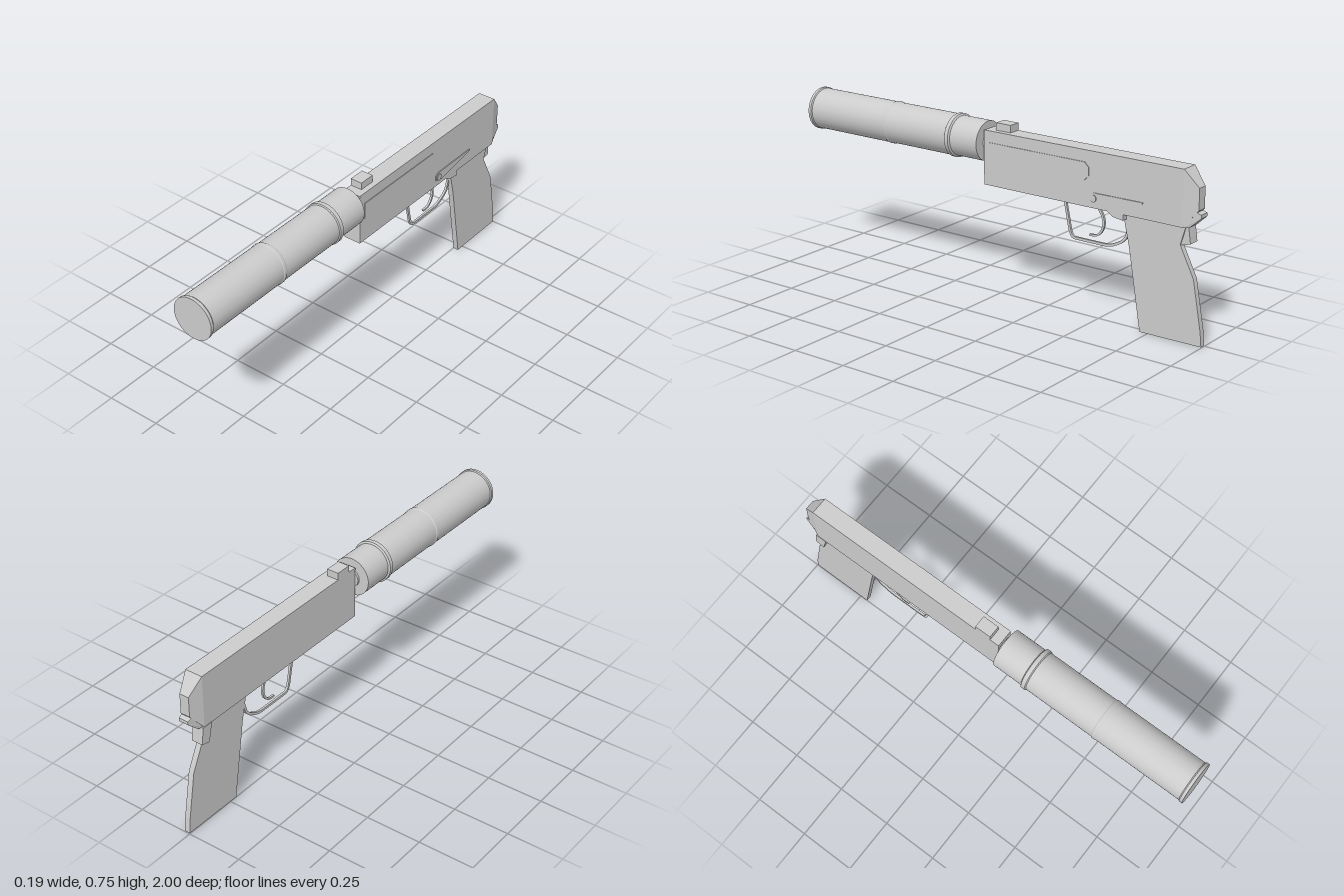
import * as THREE from 'three';
import { toCreasedNormals } from 'three/addons/utils/BufferGeometryUtils.js';
import { ConvexGeometry } from 'three/addons/geometries/ConvexGeometry.js';

const AXIS_Y = 0.66; // height of the barrel axis

export function createModel() {
  const group = new THREE.Group();
  const material = new THREE.MeshStandardMaterial({ color: 0xcccccc });

  const add = (name, geometry) => {
    const mesh = new THREE.Mesh(geometry, material);
    mesh.name = name;
    group.add(mesh);
    return mesh;
  };

  // Box given by its limits on each axis
  const block = (name, [x0, x1], [y0, y1], [z0, z1]) =>
    add(name, new THREE.BoxGeometry(x1 - x0, y1 - y0, z1 - z0)
      .translate((x0 + x1) / 2, (y0 + y1) / 2, (z0 + z1) / 2));

  // Side outline of [z, y] points, extruded from x0 to x1
  const plate = (name, points, x0, x1) => {
    const shape = new THREE.Shape(points.map(([z, y]) => new THREE.Vector2(-z, y)));
    const geometry = new THREE.ExtrudeGeometry(shape, { depth: x1 - x0, bevelEnabled: false });
    return add(name, toCreasedNormals(geometry.rotateY(Math.PI / 2).translate(x0, 0, 0), 0.5));
  };

  // Flat strip of constant or tapering width following a side curve
  const strip = (name, points, width, tipWidth, x0, x1, tension) => {
    const curve = new THREE.CatmullRomCurve3(
      points.map(([z, y]) => new THREE.Vector3(0, y, z)), false, 'catmullrom', tension);
    const near = [], far = [], steps = 36;
    for (let i = 0; i <= steps; i++) {
      const t = i / steps, p = curve.getPoint(t), d = curve.getTangent(t);
      const h = THREE.MathUtils.lerp(width, tipWidth, t) / 2;
      near.push([p.z - d.y * h, p.y + d.z * h]);
      far.unshift([p.z + d.y * h, p.y - d.z * h]);
    }
    return plate(name, [...near, ...far], x0, x1);
  };

  // Turned part along the barrel axis from [radius, z] points
  const turned = (name, profile) => {
    const geometry = new THREE.LatheGeometry(
      profile.map(([r, z]) => new THREE.Vector2(r, z)), 48);
    return add(name, toCreasedNormals(
      geometry.rotateX(Math.PI / 2).translate(0, AXIS_Y, 0), 0.5));
  };

  // Convex solid through rectangles [z, x0, x1, y0, y1]
  const hull = (name, sections) => add(name, new ConvexGeometry(
    sections.flatMap(([z, x0, x1, y0, y1]) => [x0, x1].flatMap(
      x => [y0, y1].map(y => new THREE.Vector3(x, y, z))))));

  // Slab-sided body with a tapered rear
  block('body', [-0.03, 0.05], [0.485, 0.72], [-0.912, 0.05]);
  hull('rearTaper', [
    [-0.912, -0.03, 0.05, 0.485, 0.72],
    [-0.972, -0.012, 0.032, 0.56, 0.65],
  ]);
  hull('rearSpur', [
    [-0.912, -0.025, 0.045, 0.485, 0.56],
    [-0.935, -0.018, 0.038, 0.485, 0.56],
    [-0.984, -0.012, 0.032, 0.53, 0.545],
  ]);
  block('frontSight', [-0.03, 0.025], [0.70, 0.752], [-0.067, 0.007]);

  // Raised panel on the left side, clipped at its rear corners
  plate('sidePanel', [
    [0.02, 0.595], [-0.455, 0.595], [-0.475, 0.615],
    [-0.475, 0.65], [-0.455, 0.67], [0.02, 0.67],
  ], 0.048, 0.053);

  // Tapering lever with its round pivot
  plate('sideLever', [
    [-0.48, 0.515], [-0.52, 0.508], [-0.73, 0.545], [-0.73, 0.552], [-0.50, 0.55], [-0.48, 0.54],
  ], 0.048, 0.054);
  add('leverPivot', new THREE.CylinderGeometry(0.015, 0.015, 0.012, 20)
    .rotateZ(Math.PI / 2).translate(0.052, 0.527, -0.5));

  // Barrel stub and suppressor
  turned('barrel', [
    [0, 0.03], [0.03, 0.03], [0.03, 0.05], [0.042, 0.052], [0.042, 0.062],
    [0.03, 0.064], [0.03, 0.08], [0, 0.08],
  ]);
  turned('suppressor', [
    [0, 0.065], [0.086, 0.065], [0.086, 0.205], [0.094, 0.21], [0.094, 0.228],
    [0.089, 0.232], [0.089, 0.555], [0.092, 0.56], [0.092, 0.572], [0.09, 0.575],
    [0.09, 0.982], [0.094, 0.987], [0.094, 1], [0, 1],
  ]);

  // Thin grip, rear tang and front wedge
  plate('grip', [
    [-0.622, 0.49], [-0.655, 0.35], [-0.714, 0], [-0.999, 0.003],
    [-0.993, 0.065], [-0.955, 0.275], [-0.89, 0.405], [-0.915, 0.49],
  ], 0, 0.025);
  plate('gripTang', [
    [-0.87, 0.487], [-0.89, 0.402], [-0.933, 0.413], [-0.922, 0.487],
  ], -0.032, 0.02);
  plate('gripWedge', [
    [-0.56, 0.487], [-0.59, 0.467], [-0.64, 0.46], [-0.64, 0.487],
  ], 0.025, 0.05);

  // Trigger and its guard
  strip('triggerGuard', [
    [-0.33, 0.487], [-0.357, 0.36], [-0.367, 0.335], [-0.385, 0.326],
    [-0.53, 0.326], [-0.565, 0.332], [-0.605, 0.352], [-0.628, 0.375], [-0.642, 0.42],
  ], 0.011, 0.011, 0, 0.01, 0.2);
  strip('trigger', [
    [-0.488, 0.488], [-0.513, 0.45], [-0.522, 0.415], [-0.512, 0.38],
    [-0.488, 0.358], [-0.455, 0.354],
  ], 0.011, 0.008, 0, 0.01, 0.5);

  return group;
}
